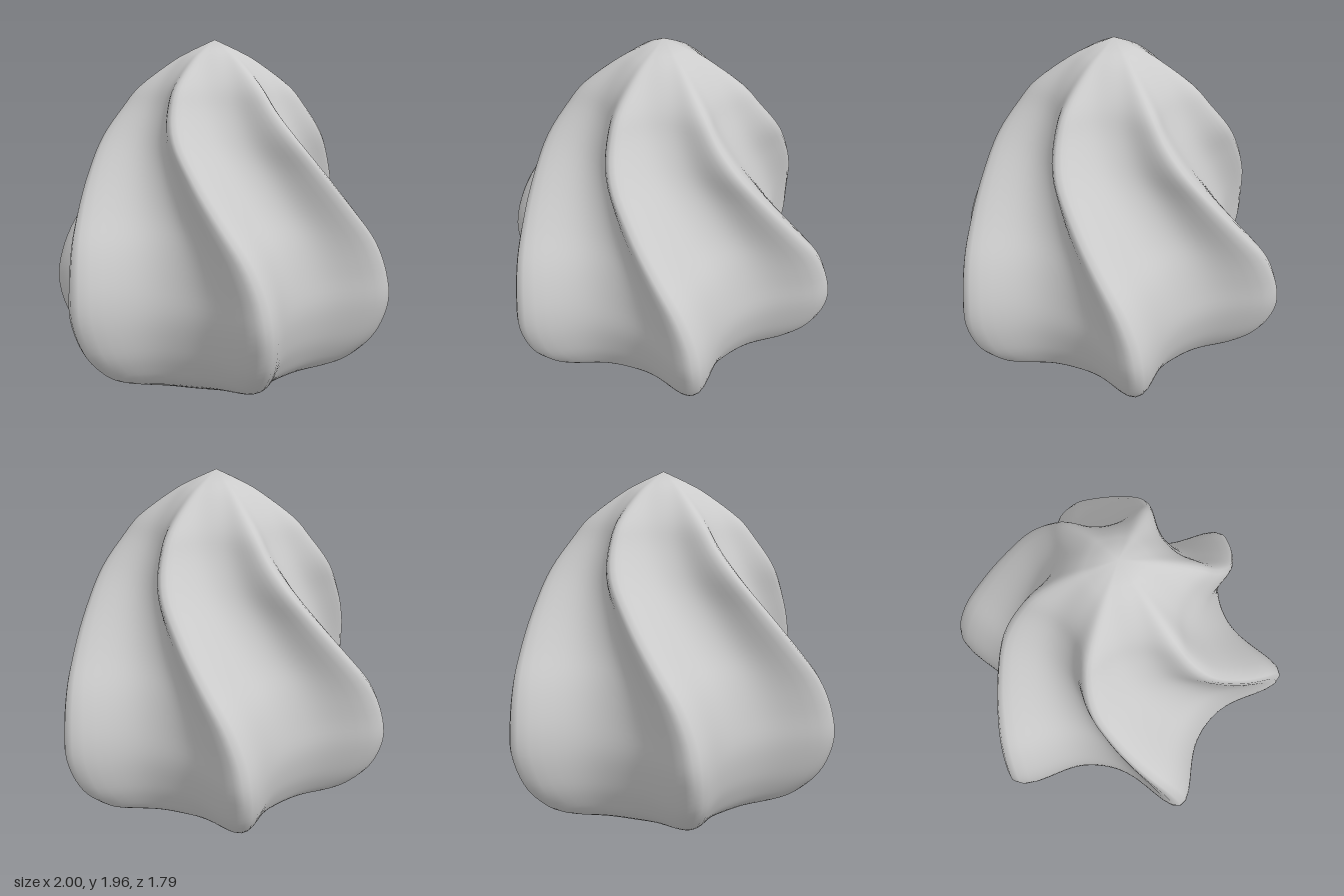
import * as THREE from 'three';

const LOBES = 6;
const SIDES = 144;
const RINGS = 52;

// height, crest radius, valley depth (valley / crest), twist in degrees
const PROFILE = [
  [0.07, 0.47, 0.89, 0],
  [0.15, 0.72, 0.78, 0.5],
  [0.24, 0.85, 0.73, 1],
  [0.36, 0.945, 0.705, 1.5],
  [0.53, 1.00, 0.695, 2.5],
  [0.70, 0.985, 0.69, 4],
  [0.88, 0.93, 0.69, 8],
  [1.05, 0.84, 0.69, 15],
  [1.25, 0.73, 0.69, 25],
  [1.43, 0.63, 0.69, 35],
  [1.58, 0.52, 0.71, 41],
  [1.70, 0.42, 0.75, 43.5],
  [1.84, 0.23, 0.87, 45],
  [1.90, 0.12, 0.93, 45],
];

// Smooth, evenly spaced curve through one pair of profile columns
const curveOf = (a, b) => new THREE.CatmullRomCurve3(
  PROFILE.map((p) => new THREE.Vector3(p[a], p[b], 0)), false, 'catmullrom', 0.5);

function swirlGeometry() {
  const shape = curveOf(0, 1);
  const turn = curveOf(2, 3);
  const pos = [];
  const index = [];

  // Rings with narrow crests and wide round valleys, each turned further than the one below
  for (let i = 0; i <= RINGS; i++) {
    const s = shape.getPoint(i / RINGS);
    const t = turn.getPoint(i / RINGS);
    const twist = THREE.MathUtils.degToRad(t.y);
    for (let j = 0; j < SIDES; j++) {
      const a = (j / SIDES) * Math.PI * 2;
      const u = 0.5 - 0.5 * Math.cos(LOBES * a);
      const crest = (1 - u) / (1 + 2.5 * u);
      const r = s.y * THREE.MathUtils.lerp(t.x, 1, crest);
      pos.push(r * Math.cos(a + twist), s.x, r * Math.sin(a + twist));
    }
  }

  // Skin between rings
  for (let i = 0; i < RINGS; i++) {
    for (let j = 0; j < SIDES; j++) {
      const k = (j + 1) % SIDES;
      const a = i * SIDES + j, b = i * SIDES + k;
      index.push(a, a + SIDES, b, b, a + SIDES, b + SIDES);
    }
  }

  // Pointed bottom and peak
  const bottom = pos.length / 3;
  pos.push(0, 0, 0, 0, 1.955, 0);
  for (let j = 0; j < SIDES; j++) {
    const k = (j + 1) % SIDES;
    index.push(bottom, j, k);
    index.push(bottom + 1, RINGS * SIDES + k, RINGS * SIDES + j);
  }

  const geo = new THREE.BufferGeometry();
  geo.setAttribute('position', new THREE.Float32BufferAttribute(pos, 3));
  geo.setIndex(index);
  geo.computeVertexNormals();
  return geo;
}

export function createModel() {
  const group = new THREE.Group();
  group.name = 'creamSwirl';
  const swirl = new THREE.Mesh(
    swirlGeometry(),
    new THREE.MeshStandardMaterial({ color: 0xcccccc })
  );
  swirl.name = 'swirl';
  group.add(swirl);
  return group;
}
